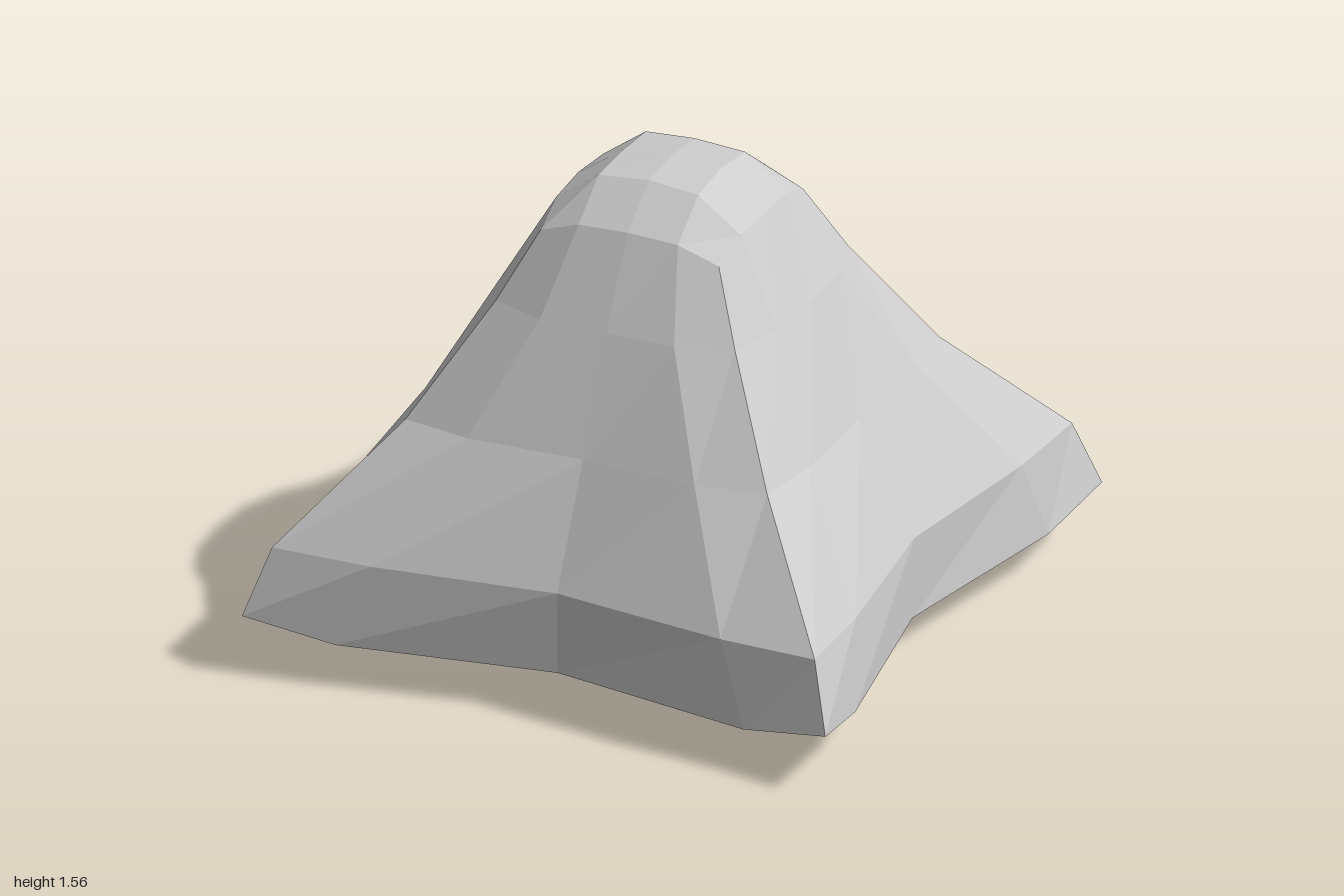
import * as THREE from 'three';

// Rings from rim to crown. Each gives the corner [x = z, y],
// the quarter point [along, y, out] and the side middle [y, out].
const RINGS = [
  { corner: [1.0, 0.2], quarter: [0.7, 0.145, 0.96], middle: [0.135, 0.825] },
  { corner: [0.93, 0.42], quarter: [0.6, 0.415, 0.915], middle: [0.41, 0.83] },
  { corner: [0.62, 0.79], quarter: [0.39, 0.79, 0.66], middle: [0.79, 0.645] },
  { corner: [0.41, 1.15], quarter: [0.23, 1.15, 0.47], middle: [1.15, 0.475] },
  { corner: [0.305, 1.37], quarter: [0.17, 1.42, 0.317], middle: [1.43, 0.322] },
];

// Inner points of the crown and the underside.
const CROWN = { ring: RINGS[4], corner: [0.17, 1.528], middle: [1.542, 0.165], centre: 1.557 };
const BASE = { ring: RINGS[0], corner: [0.62, 0.04], middle: [0.02, 0.53], centre: 0 };

// Point of a ring on the front side, i = -2 (left corner) to 2 (right corner).
function sidePoint(ring, i) {
  const s = Math.sign(i);
  if (i === 0) return [0, ring.middle[0], ring.middle[1]];
  if (Math.abs(i) === 1) return [s * ring.quarter[0], ring.quarter[1], ring.quarter[2]];
  return [s * ring.corner[0], ring.corner[1], ring.corner[0]];
}

// Point of a 5 x 5 cap grid, i along x and j along z, each -2 to 2.
function capPoint(cap, i, j) {
  const level = Math.max(Math.abs(i), Math.abs(j));
  if (level === 0) return [0, cap.centre, 0];
  const swap = Math.abs(i) > Math.abs(j);
  const along = swap ? j : i;
  const sign = Math.sign(swap ? i : j);
  let p;
  if (level === 2) p = sidePoint(cap.ring, along);
  else if (along === 0) p = [0, cap.middle[0], cap.middle[1]];
  else p = [along * cap.corner[0], cap.corner[1], cap.corner[0]];
  return swap ? [sign * p[2], p[1], p[0]] : [p[0], p[1], sign * p[2]];
}

// Grid of quads; a runs right and b runs up when seen from outside.
function gridGeometry(point, aCount, bCount) {
  const out = [];
  for (let b = 0; b < bCount; b++) {
    for (let a = 0; a < aCount; a++) {
      const p = point(a, b), q = point(a + 1, b);
      const r = point(a + 1, b + 1), s = point(a, b + 1);
      out.push(...p, ...q, ...r, ...p, ...r, ...s);
    }
  }
  const geometry = new THREE.BufferGeometry();
  geometry.setAttribute('position', new THREE.Float32BufferAttribute(out, 3));
  geometry.computeVertexNormals();
  return geometry;
}

export function createModel() {
  const model = new THREE.Group();
  model.name = 'flaredPyramid';
  const grey = new THREE.MeshStandardMaterial({ color: 0xcccccc, flatShading: true });
  grey.name = 'grey';

  const add = (name, geometry) => {
    const mesh = new THREE.Mesh(geometry, grey);
    mesh.name = name;
    model.add(mesh);
    return mesh;
  };

  // Four equal flared walls
  const wall = gridGeometry((a, b) => sidePoint(RINGS[b], a - 2), 4, RINGS.length - 1);
  ['frontWall', 'leftWall', 'backWall', 'rightWall'].forEach((name, k) => {
    add(name, wall).rotation.y = k * Math.PI / 2;
  });

  // Rounded crown and shallow underside
  add('crown', gridGeometry((a, b) => capPoint(CROWN, a - 2, 2 - b), 4, 4));
  add('underside', gridGeometry((a, b) => capPoint(BASE, a - 2, b - 2), 4, 4));
  return model;
}
